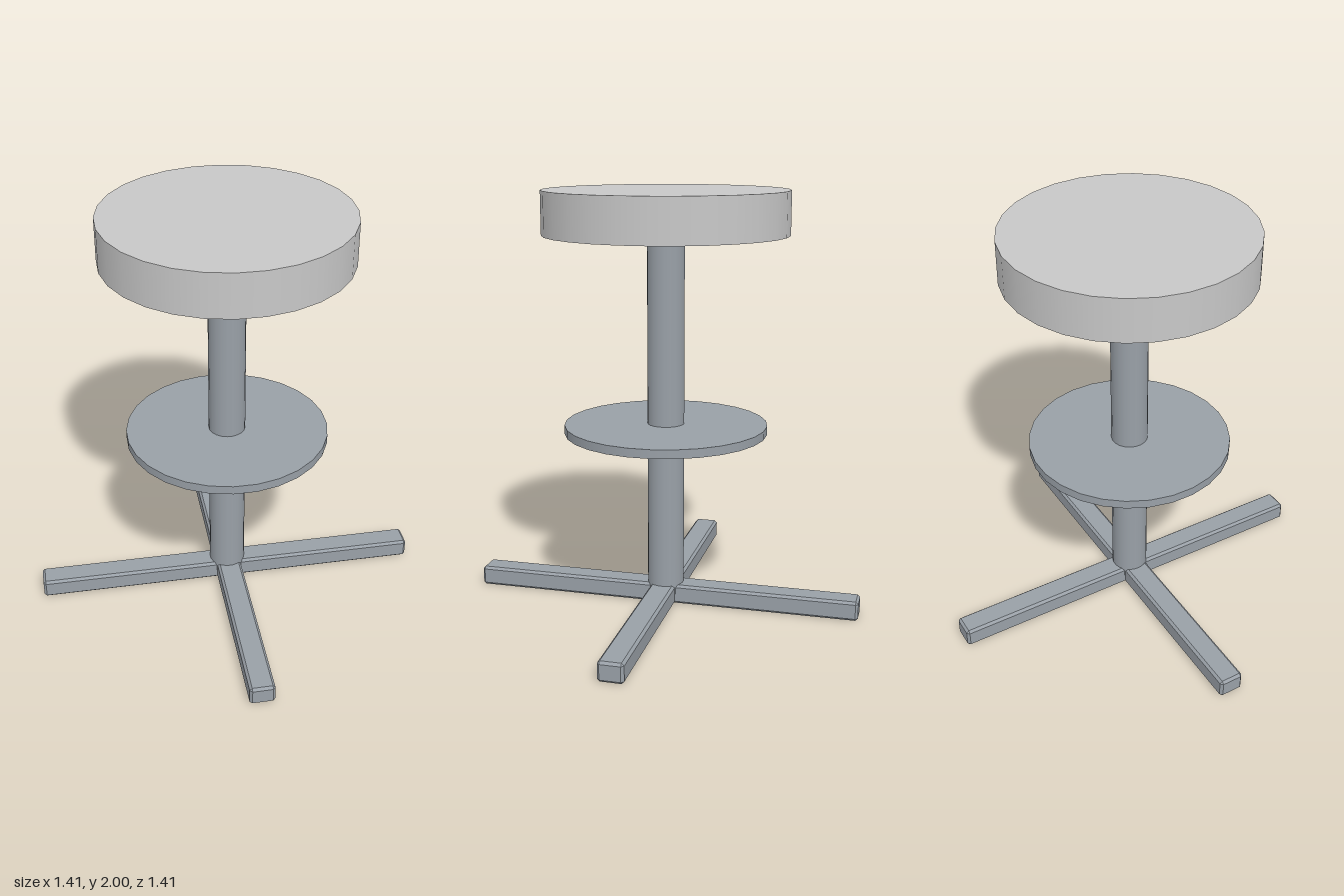
import * as THREE from 'three';
import { ConvexGeometry } from 'three/addons/geometries/ConvexGeometry.js';

// Box with flat chamfers on every edge, centred on the origin
function chamferedBox(w, h, d, c) {
  const points = [];
  for (const sx of [-1, 1]) for (const sy of [-1, 1]) for (const sz of [-1, 1]) {
    for (let axis = 0; axis < 3; axis++) {
      const inset = [c, c, c];
      inset[axis] = 0;
      points.push(new THREE.Vector3(
        sx * (w / 2 - inset[0]), sy * (h / 2 - inset[1]), sz * (d / 2 - inset[2])));
    }
  }
  return new ConvexGeometry(points);
}

export function createModel() {
  const stool = new THREE.Group();
  stool.name = 'barStool';

  const cushionGrey = new THREE.MeshStandardMaterial({ color: 0xc8c8c8 });
  cushionGrey.name = 'cushionGrey';
  const metalGrey = new THREE.MeshStandardMaterial({ color: 0x99a0a7 });
  metalGrey.name = 'metalGrey';

  // Upright disc or post between two heights
  const addRound = (name, radius, bottom, top, sides, material) => {
    const mesh = new THREE.Mesh(
      new THREE.CylinderGeometry(radius, radius, top - bottom, sides), material);
    mesh.name = name;
    mesh.position.y = (bottom + top) / 2;
    stool.add(mesh);
  };

  addRound('seat', 0.575, 1.795, 2, 28, cushionGrey);
  addRound('column', 0.088, 0.05, 1.8, 20, metalGrey);
  addRound('footDisc', 0.485, 0.855, 0.897, 28, metalGrey);

  // Cross base: two diagonal bars
  const bar = chamferedBox(1.9, 0.095, 0.12, 0.012);
  [1, -1].forEach((side, i) => {
    const mesh = new THREE.Mesh(bar, metalGrey);
    mesh.name = i === 0 ? 'baseBarA' : 'baseBarB';
    mesh.position.y = 0.0475;
    mesh.rotation.y = side * Math.PI / 4;
    stool.add(mesh);
  });

  return stool;
}
